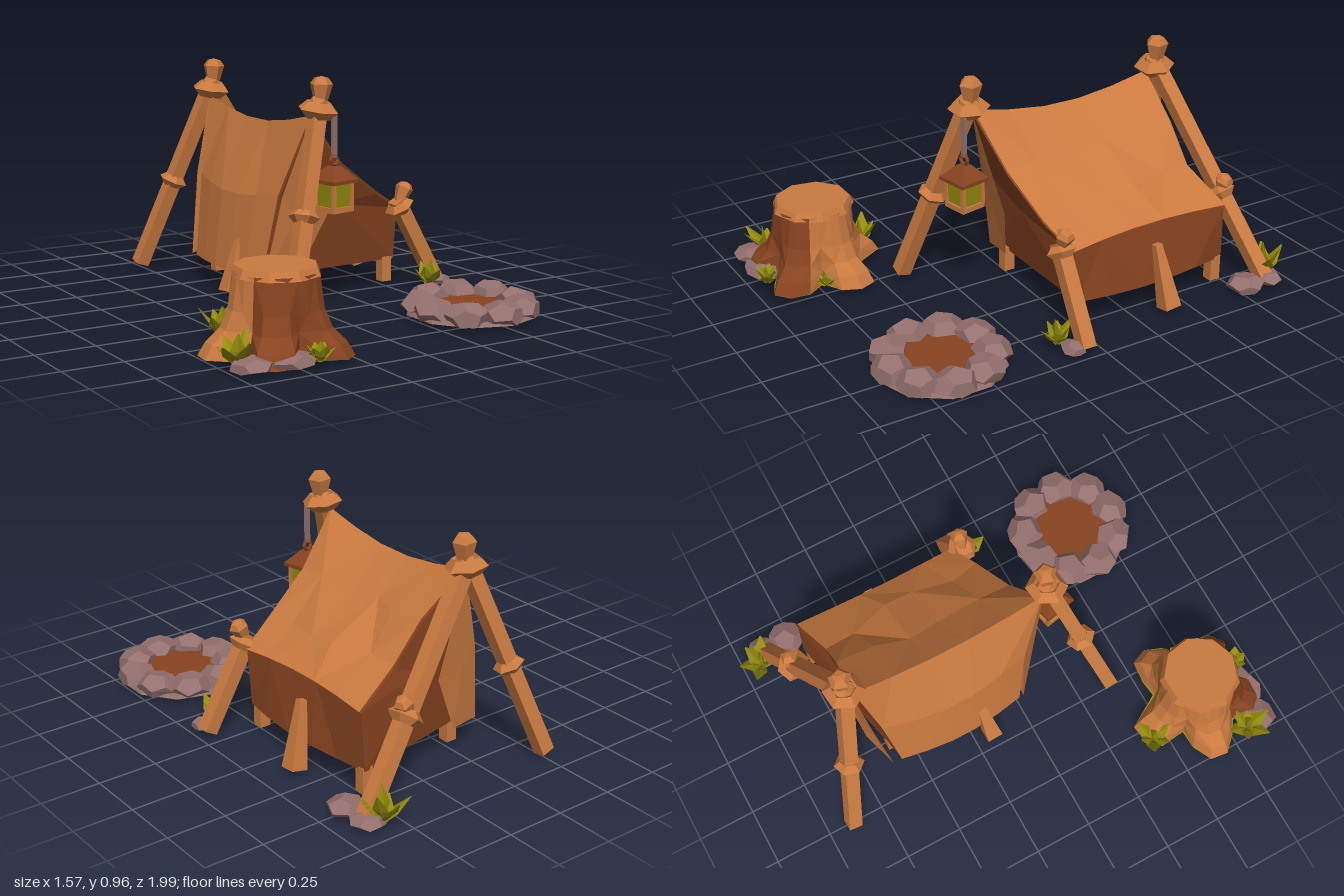
import * as THREE from 'three';

const mat = (name, color, side = THREE.DoubleSide) => Object.assign(new THREE.MeshStandardMaterial({ color, side }), { name });

export function createModel() {
  const model = new THREE.Group();
  const tan = mat('tan wood and cloth', 0xca7a40);
  const brown = mat('dark brown', 0x874320);
  const stone = mat('mauve stone', 0x94706e);
  const green = mat('olive green', 0x938c0c);
  const V = (x, y, z) => new THREE.Vector3(x, y, z);

  let seed = 7;
  const rnd = () => (seed = (seed * 16807) % 2147483647) / 2147483647;

  // ---- helpers ----
  function add(name, geo, material, parent = model) {
    const g = geo.index ? geo.toNonIndexed() : geo;
    g.computeVertexNormals(); // flat facets
    const m = new THREE.Mesh(g, material);
    m.name = name;
    parent.add(m);
    return m;
  }
  // Faceted surface through rows of points, with alternating diagonals
  function sheet(rows, closed = false) {
    const n = rows[0].length, idx = [];
    for (let i = 0; i < rows.length - 1; i++)
      for (let j = 0; j < (closed ? n : n - 1); j++) {
        const a = i * n + j, b = i * n + (j + 1) % n;
        if ((i + j) % 2) idx.push(a, b, a + n, b, b + n, a + n);
        else idx.push(a, b, b + n, a, b + n, a + n);
      }
    return new THREE.BufferGeometry().setFromPoints(rows.flat()).setIndex(idx);
  }
  // Polygon filled from its centre
  function fan(pts) {
    const c = pts.reduce((s, p) => s.add(p), V(0, 0, 0)).divideScalar(pts.length);
    return new THREE.BufferGeometry().setFromPoints(pts.flatMap((p, i) => [c, p, pts[(i + 1) % pts.length]]));
  }
  function beam(name, a, b, r0, r1 = r0) {
    const d = b.clone().sub(a);
    const m = add(name, new THREE.CylinderGeometry(r1, r0, d.length(), 4).rotateY(Math.PI / 4), tan);
    m.position.copy(a).addScaledVector(d, 0.5);
    m.quaternion.setFromUnitVectors(V(0, 1, 0), d.normalize());
  }
  // Chunky rope lashing around a pole
  function lashing(p, dir, r) {
    const m = add('ropeLashing', new THREE.TorusGeometry(r * 0.62, r * 0.4, 4, 6), tan);
    m.position.copy(p);
    m.quaternion.setFromUnitVectors(V(0, 0, 1), dir.clone().normalize());
  }
  // Pole tip flaring up to a blunt point
  function knob(p, dir, s) {
    const m = add('poleTip', new THREE.LatheGeometry(
      [[0.55, 0], [0.98, 1.6], [0.6, 2.1], [0, 2.25]].map(([x, y]) => new THREE.Vector2(x * s, y * s)), 5), tan);
    m.position.copy(p);
    m.quaternion.setFromUnitVectors(V(0, 1, 0), dir.clone().normalize());
  }
  function rock(name, x, z, w, h, d, turn = 0) {
    const g = new THREE.DodecahedronGeometry(1);
    g.rotateY(rnd() * 3).rotateX(rnd() * 0.5).scale(w, h, d).rotateY(turn).translate(x, h * 0.55, z);
    const p = g.attributes.position;
    for (let i = 0; i < p.count; i++) p.setY(i, Math.max(0.004, p.getY(i)));
    add(name, g, stone);
  }
  // Tuft of broad pointed blades
  function grass(x, z, h) {
    const clump = new THREE.Group();
    clump.name = 'grassTuft';
    for (let i = 0; i < 7; i++) {
      const len = h * (0.75 + rnd() * 0.35), tilt = i ? 0.45 + rnd() * 0.4 : 0.1;
      const tip = new THREE.CylinderGeometry(0.002, 0.02, len * 0.55, 4).translate(0, len * 0.72, 0);
      const low = new THREE.CylinderGeometry(0.02, 0.009, len * 0.45, 4).translate(0, len * 0.225, 0);
      for (const b of [tip, low])
        add('blade', b.scale(1.7, 1, 0.45).rotateX(tilt).rotateY(i * 1.05).translate(0, 0.01, 0), green, clump);
    }
    clump.position.set(x, 0, z);
    model.add(clump);
  }

  // ---- tent: profile runs left hem, left middle, ridge, two roof points, eave ----
  const prof = [[-0.13, 0.09], [-0.08, 0.45], [0, 0.79], [0.18, 0.65], [0.37, 0.51], [0.54, 0.375]];
  const zFront = [0, 0.05, 0.17, 0.12, 0.075, 0.03], zBack = [-0.58, -0.62, -0.68, -0.67, -0.67, -0.72];
  const sag = [0, 0.03, 0.06, 0.05, 0.03, 0], dip = [0, 0, 0, 0.075, 0.075, 0.03], out = [-0.035, -0.045, 0, 0, 0, -0.015];
  const N = 5, rows = [];
  for (let i = 0; i <= N; i++) {
    const t = i / N, s = Math.sin(Math.PI * t), e = (1 - t) ** 3 + 0.35 * t ** 4;
    rows.push(prof.map(([x, y], j) => {
      const k = j === 3 || j === 4 ? 1 : 0; // loose creases on the roof
      return V(x + out[j] * s + k * (rnd() - 0.5) * 0.07,
        y - sag[j] * s - dip[j] * e + k * (rnd() - 0.5) * 0.02,
        THREE.MathUtils.lerp(zFront[j], zBack[j], t) + k * s * (rnd() - 0.5) * 0.08);
    }));
  }
  add('tarpCover', sheet(rows), tan);
  // Closed inner tent with floor and low side wall
  const loops = rows.map((r, i) => [...r, V(0.545 + 0.03 * Math.sin(i * 0.75), 0.1, THREE.MathUtils.lerp(0, -0.73, i / N))]
    .map(p => V(0.15 + (p.x - 0.15) * 0.975, Math.max(0.1, 0.35 + (p.y - 0.35) * 0.965) - 0.008 * (p.y > 0.3), p.z)));
  add('innerTent', sheet(loops, true), brown);
  add('frontWall', fan(loops[0]), brown);
  add('backWall', fan(loops[N]), brown);
  // Flaps pulled towards the ridge side
  const flap = (name, z) => add(name, fan([
    V(0, 0.78, z[0]), V(-0.08, 0.45, z[1]), V(-0.13, 0.09, z[2]), V(0.03, 0.11, z[3]), V(0.13, 0.36, z[4])]), tan);
  flap('frontFlap', [0.175, 0.085, 0.02, 0.035, 0.1]);
  flap('backFlap', [-0.69, -0.66, -0.62, -0.67, -0.69]);

  // ---- poles ----
  const pole = (name, foot, top, knotT, knotR) => {
    const d = top.clone().sub(foot);
    beam(name, foot, top, 0.042);
    lashing(foot.clone().addScaledVector(d, knotT), d, knotR);
  };
  const apexF = V(0.02, 0.83, 0.2), apexB = V(0.02, 0.83, -0.71);
  pole('frontPole', V(-0.23, 0.01, 0.4), apexF, 0.48, 0.064);
  pole('backLeftPole', V(-0.26, 0.01, -0.89), apexB, 0.47, 0.064);
  pole('backRightPole', V(0.64, 0.01, -0.88), apexB, 0.4, 0.072);
  for (const a of [apexF, apexB]) {
    lashing(a.clone().add(V(0, -0.015, 0)), V(0.1, 1, 0.1), 0.086);
    add('ropeCore', new THREE.IcosahedronGeometry(0.05), tan).position.copy(a);
    knob(a.clone().add(V(0.01, 0.01, 0)), V(0.05, 1, 0), 0.05);
  }
  pole('eavePole', V(0.71, 0.01, 0.07), V(0.5, 0.38, 0.07), 0.92, 0.066);
  knob(V(0.515, 0.37, 0.07), V(0.45, 1, 0), 0.042);
  knob(V(0.38, 0.34, -0.81), V(0.45, 1, -0.1), 0.042);
  // Short legs and slanted side stakes
  for (const [x, z] of [[-0.02, 0], [-0.02, -0.58], [0.5, -0.7], [0.5, -0.02]])
    beam('floorLeg', V(x, 0.01, z), V(x, 0.12, z), 0.034);
  beam('rightStake', V(0.61, 0.01, -0.4), V(0.55, 0.28, -0.37), 0.052, 0.022);
  beam('leftStake', V(-0.19, 0.01, -0.17), V(-0.12, 0.24, -0.19), 0.05, 0.025);

  // ---- lantern ----
  const lantern = new THREE.Group();
  lantern.name = 'lantern';
  const box = (name, w, h, d, x, y, z, m) => add(name, new THREE.BoxGeometry(w, h, d), m, lantern).position.set(x, y, z);
  box('chain', 0.022, 0.18, 0.014, 0, 0.715, 0, stone);
  add('ring', new THREE.TorusGeometry(0.022, 0.009, 4, 6), brown, lantern).position.y = 0.615;
  add('lanternRoof', new THREE.CylinderGeometry(0.03, 0.1, 0.055, 4).rotateY(Math.PI / 4), brown, lantern).position.y = 0.562;
  box('roofRim', 0.142, 0.015, 0.142, 0, 0.53, 0, brown);
  add('glass', new THREE.CylinderGeometry(0.076, 0.068, 0.1, 4).rotateY(Math.PI / 4), green, lantern).position.y = 0.475;
  box('lanternBase', 0.115, 0.022, 0.115, 0, 0.415, 0, tan);
  for (const x of [-1, 1]) for (const z of [-1, 1])
    box('lanternPost', 0.016, 0.11, 0.016, x * 0.05, 0.475, z * 0.05, tan);
  lantern.position.set(0.065, 0, 0.25);
  lantern.rotation.y = 0.2;
  model.add(lantern);

  // ---- fire pit ----
  add('pitBase', new THREE.CylinderGeometry(0.26, 0.27, 0.015, 10), stone).position.set(0.495, 0.0125, 0.61);
  add('pitEarth', new THREE.CylinderGeometry(0.17, 0.17, 0.02, 10), brown).position.set(0.495, 0.03, 0.61);
  for (let i = 0; i < 9; i++) {
    const a = i * Math.PI * 2 / 9 + 0.2;
    rock('pitStone', 0.495 + Math.cos(a) * 0.205, 0.61 + Math.sin(a) * 0.205, 0.084, 0.062, 0.095, -a);
  }

  // ---- stump with five flared, blunt roots ----
  const roots = [-102, -20, 50, 122, 187];
  const lobe = a => Math.max(...roots.map(r => {
    const d = Math.abs(((a - r + 540) % 360) - 180);
    return Math.min(1, Math.max(0, 1.7 * (1 - d / 33)));
  }));
  const levels = [[0, 0.165, 0.135], [0.05, 0.16, 0.11], [0.1, 0.16, 0.055], [0.17, 0.165, 0.02], [0.305, 0.162, 0]];
  const ring = ([y, r, flare], from, to) => {
    const pts = [];
    for (let a = from; a <= to; a += 15) {
      const q = r + flare * lobe(a), t = a * Math.PI / 180;
      pts.push(V(-0.47 + q * Math.cos(t), y + 0.004, 0.69 + q * Math.sin(t)));
    }
    return pts;
  };
  add('bark', sheet(levels.map(l => ring(l, 150, 390))), tan);
  add('darkBark', sheet(levels.map(l => ring(l, 30, 150))), brown);
  add('stumpTop', new THREE.CylinderGeometry(0.158, 0.174, 0.035, 9), tan).position.set(-0.47, 0.312, 0.69);
  add('mossBase', fan(ring([0.001, 0.175, 0.125], 0, 345)), green);

  // ---- rocks and grass ----
  rock('stumpRock', -0.53, 0.91, 0.11, 0.035, 0.07, 0.2);
  rock('stumpRock', -0.68, 0.88, 0.1, 0.035, 0.085, 0.6);
  rock('backRock', 0.64, -0.77, 0.08, 0.042, 0.08);
  rock('backRock', 0.63, -0.89, 0.075, 0.035, 0.07);
  rock('frontRock', 0.69, 0.12, 0.06, 0.03, 0.05);
  for (const [x, z, h] of [[-0.71, 0.82, 0.13], [-0.56, 0.43, 0.13], [-0.28, 0.73, 0.07], [-0.43, 0.93, 0.08],
    [0.62, 0.15, 0.11], [0.58, -0.92, 0.14]]) grass(x, z, h);

  return model;
}
